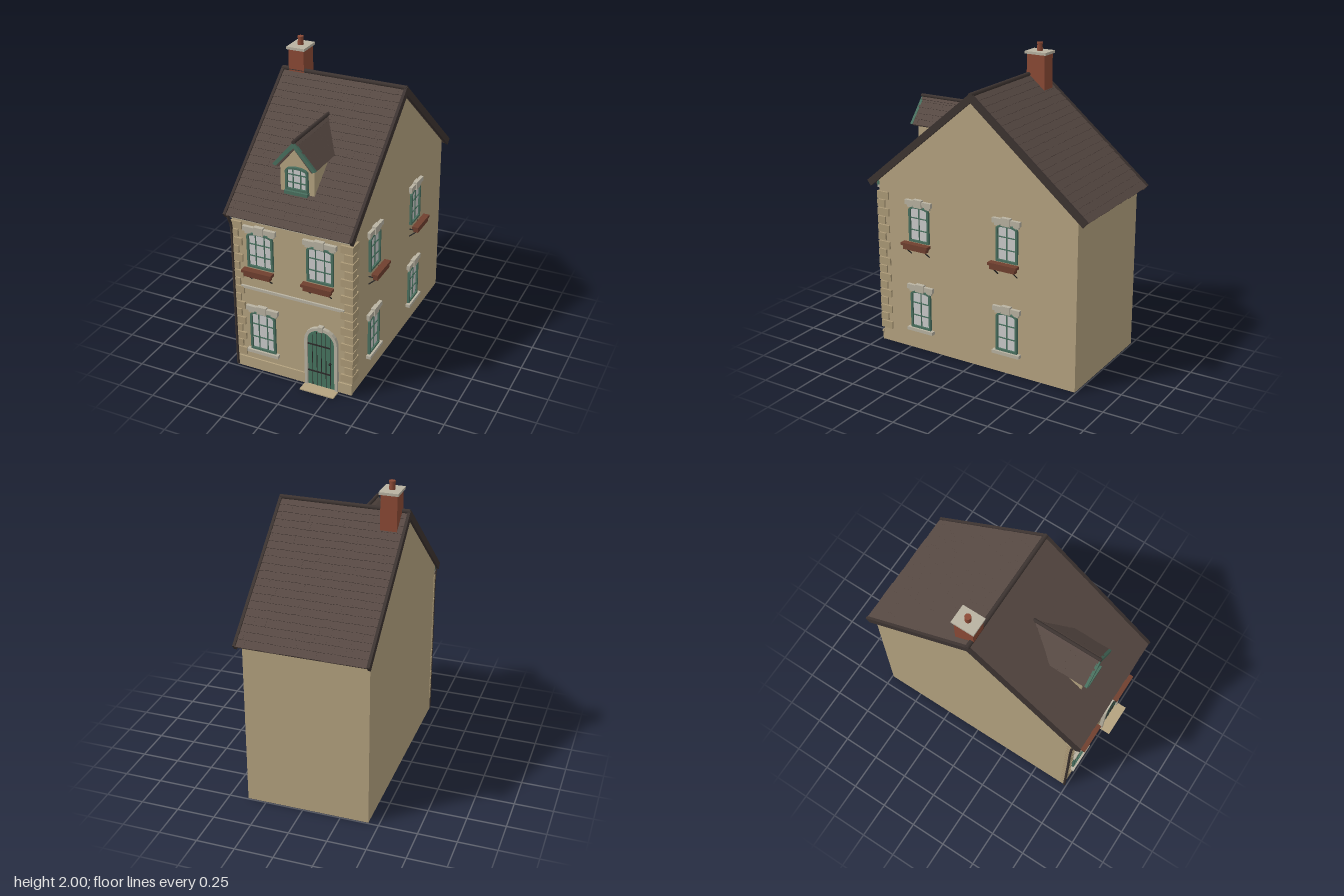
import * as THREE from 'three';
import { mergeGeometries } from 'three/addons/utils/BufferGeometryUtils.js';

const mat = (color, extra = {}) => Object.assign(new THREE.MeshStandardMaterial({ color }), extra);
const M = {
  wall: mat(0xb5a380), stone: mat(0xb9b3a2), quoin: mat(0xad9b78), roof: mat(0x574943), trim: mat(0x3d3431),
  green: mat(0x49705f), door: mat(0x477560), iron: mat(0x2b2a29), glass: mat(0xc0c1c4), brick: mat(0x8c4a36),
  planter: mat(0x70402f), inner: mat(0x9a7a64), floor: mat(0x5f4d42),
};

function add(parent, name, geo, material, x = 0, y = 0, z = 0) {
  const m = new THREE.Mesh(geo, material);
  m.name = name;
  m.position.set(x, y, z);
  parent.add(m);
  return m;
}
// box given by its min and max corners
const block = (p, name, material, x0, x1, y0, y1, z0, z1) =>
  add(p, name, new THREE.BoxGeometry(x1 - x0, y1 - y0, z1 - z0), material, (x0 + x1) / 2, (y0 + y1) / 2, (z0 + z1) / 2);
const extrude = (shape, depth) => new THREE.ExtrudeGeometry(shape, { depth, bevelEnabled: false, curveSegments: 12 });
function group(parent, name, x = 0, y = 0, z = 0, ry = 0) {
  const g = new THREE.Group();
  g.name = name;
  g.position.set(x, y, z);
  g.rotation.y = ry;
  parent.add(g);
  return g;
}
function rod(p, name, material, r, a, b) {
  const A = new THREE.Vector3(...a), B = new THREE.Vector3(...b);
  const m = add(p, name, new THREE.CylinderGeometry(r, r, A.distanceTo(B), 8), material);
  m.position.copy(A).add(B).multiplyScalar(0.5);
  m.quaternion.setFromUnitVectors(new THREE.Vector3(0, 1, 0), B.sub(A).normalize());
  return m;
}
// outline with a flat foot and a curved head
function arch(w, h, rise, inset = 0, C = THREE.Shape, foot = inset) {
  const s = new C(), x = w / 2 - inset, top = h - rise, peak = top + (rise - inset) * 4 / 3;
  s.moveTo(-x, foot);
  s.lineTo(x, foot);
  s.lineTo(x, top);
  s.bezierCurveTo(x, peak, -x, peak, -x, top);
  s.closePath();
  return s;
}
function frame(w, h, rise, t, depth, foot) {
  const s = arch(w, h, rise);
  s.holes.push(arch(w, h, rise, t, THREE.Path, foot));
  return extrude(s, depth);
}

// window on a wall, local +z points outwards, origin at the foot of the frame
function windowUnit(p, name, x, y, z, ry, { w, h, rise = 0.03, cols, lintel = true, planter = false }) {
  const g = group(p, name, x, y, z, ry);
  add(g, 'windowFrame', frame(w, h, rise, 0.014, 0.016), M.green);
  add(g, 'windowGlass', extrude(arch(w, h, rise, 0.01), 0.004), M.glass);
  for (let i = 1; i < cols; i++) {
    const bx = -w / 2 + (w * i) / cols;
    block(g, 'windowBar', M.green, bx - 0.003, bx + 0.003, 0.01, h - 0.012, 0.003, 0.01);
  }
  for (let i = 1; i < 3; i++) block(g, 'windowBar', M.green, -w / 2 + 0.01, w / 2 - 0.01, h * i / 3 - 0.003, h * i / 3 + 0.003, 0.003, 0.01);
  const e = w / 2 + 0.022;
  if (lintel) {
    block(g, 'lintel', M.stone, -e, e, h + 0.006, h + 0.038, 0, 0.022);
    block(g, 'lintelShoulder', M.stone, -e + 0.012, -w / 2 + 0.03, h - 0.012, h + 0.01, 0, 0.014);
    block(g, 'lintelShoulder', M.stone, w / 2 - 0.03, e - 0.012, h - 0.012, h + 0.01, 0, 0.014);
    block(g, 'keystone', M.stone, -0.032, 0.032, h - 0.004, h + 0.048, 0, 0.028);
  }
  if (!planter) {
    block(g, 'windowSill', lintel ? M.stone : M.green, -e + (lintel ? 0 : 0.02), e - (lintel ? 0 : 0.02), -0.022, 0, 0, 0.03);
    return;
  }
  // planter box on two slanted brackets
  block(g, 'planterBox', M.planter, -0.09, 0.09, -0.04, -0.008, 0.035, 0.068);
  block(g, 'planterRim', M.planter, -0.102, 0.102, -0.014, 0.004, 0.03, 0.073);
  for (const s of [-0.07, 0.07]) {
    rod(g, 'planterBracket', M.iron, 0.004, [s, -0.09, 0], [s, -0.04, 0.055]);
    rod(g, 'planterBracket', M.iron, 0.004, [s, -0.036, 0], [s, -0.036, 0.06]);
  }
}

// tiled slope: local z runs down from the ridge, y is the outward normal
function slope(p, name, x, y, z, ry, pitch, w, len, rows, cols) {
  const g = group(p, name, x, y, z);
  g.rotation.set(pitch, ry, 0, 'YXZ');
  block(g, 'roofSlab', M.roof, -w / 2, w / 2, -0.032, -0.004, 0, len - 0.005);
  const tiles = [], step = len / rows, tw = w / cols;
  let seed = 7;
  const rnd = () => ((seed = (seed * 16807) % 2147483647) / 2147483647) - 0.5;
  for (let r = 0; r < rows; r++) {
    const shift = r % 2 ? tw / 2 : 0;
    for (let c = 0; c < cols + (r % 2); c++) {
      const a = Math.max(-w / 2, -w / 2 + c * tw - shift), b = Math.min(w / 2, -w / 2 + (c + 1) * tw - shift);
      const t = new THREE.BoxGeometry(b - a, 0.006, step * 1.15);
      t.rotateX(-0.07);
      t.translate((a + b) / 2, -0.002 + rnd() * 0.0015, (r + 0.5) * step + rnd() * 0.004);
      tiles.push(t);
    }
  }
  add(g, 'roofTiles', mergeGeometries(tiles), M.roof);
  return g;
}

export function createModel() {
  const house = new THREE.Group();
  house.name = 'townHouse';
  const L = -0.432, R = 0.375, F = 0.72, B = -0.742, RZ = -0.01, RY = 1.795;

  // hollow walls, open underneath
  const walls = group(house, 'walls');
  block(walls, 'frontWall', M.wall, L, R, 0, 1.15, F - 0.03, F);
  block(walls, 'backWall', M.wall, L, R, 0, 1.15, B, B + 0.03);
  const gable = new THREE.Shape([[-F, 0], [-B, 0], [-B, 1.165], [-RZ, RY - 0.022], [-F, 1.165]].map(q => new THREE.Vector2(...q)));
  for (const [name, x] of [['leftWall', R - 0.03], ['rightWall', L]])
    add(walls, name, extrude(gable, 0.03).rotateY(Math.PI / 2), M.wall, x);
  block(walls, 'plinth', M.wall, L, R + 0.003, 0, 0.075, F, F + 0.01);
  block(walls, 'stringCourse', M.stone, L + 0.05, R - 0.05, 0.598, 0.616, F, F + 0.012);

  // simple interior
  const inside = group(house, 'interior');
  block(inside, 'entranceFloor', M.floor, L + 0.03, R - 0.03, 0.004, 0.02, 0.48, F - 0.03);
  block(inside, 'partition', M.inner, L + 0.03, R - 0.03, 0.02, 0.65, 0.48, 0.495);
  for (const z of [0.31, -0.25]) block(inside, 'innerBox', M.inner, 0.05, R - 0.03, 0.18, 0.45, z - 0.15, z + 0.15);

  // alternating corner stones
  const quoins = group(house, 'quoins');
  for (let i = 0; i < 17; i++) {
    const y = 0.095 + i * 0.0575, long = i % 2 === 0, w = long ? 0.07 : 0.045;
    block(quoins, 'leftQuoin', M.quoin, R - w, R + 0.012, y, y + 0.05, F - (long ? 0.075 : 0.045), F + 0.014);
    block(quoins, 'rightQuoin', M.quoin, L - 0.004, L + w, y, y + 0.05, F - 0.02, F + 0.014);
  }

  // windows on the front and on the left side
  const front = { w: 0.178, cols: 3 }, side = { w: 0.155, cols: 2 };
  for (const x of [-0.238, 0.168]) windowUnit(house, 'upperFrontWindow', x, 0.765, F, 0, { ...front, h: 0.245, planter: true });
  windowUnit(house, 'lowerFrontWindow', -0.238, 0.157, F, 0, { ...front, h: 0.285 });
  for (const z of [0.405, -0.255]) {
    windowUnit(house, 'upperSideWindow', R, 0.765, z, Math.PI / 2, { ...side, h: 0.245, planter: true });
    windowUnit(house, 'lowerSideWindow', R, 0.157, z, Math.PI / 2, { ...side, h: 0.267 });
  }

  // arched plank door with stone surround
  const door = group(house, 'frontDoor', 0.172, 0, F);
  add(door, 'doorSurround', frame(0.226, 0.45, 0.11, 0.02, 0.024, 0.002), M.stone);
  add(door, 'doorLeaf', extrude(arch(0.226, 0.45, 0.11, 0.018, THREE.Shape, 0.004), 0.012), M.door);
  for (let i = -2; i <= 2; i++) block(door, 'plankGap', M.iron, i * 0.031 - 0.002, i * 0.031 + 0.002, 0.006, 0.42 - i * i * 0.009, 0.01, 0.0135);
  for (const y of [0.11, 0.31]) block(door, 'strapHinge', M.iron, -0.092, 0.06, y, y + 0.009, 0.01, 0.017);
  add(door, 'doorKnob', new THREE.SphereGeometry(0.009, 10, 8), M.iron, 0.062, 0.2, 0.02);
  block(door, 'doorKeystone', M.stone, -0.016, 0.016, 0.425, 0.462, 0, 0.03);
  block(door, 'doorStep', M.wall, -0.117, 0.117, 0, 0.008, 0, 0.09);

  // cornice, gutter and downpipe
  const eaves = group(house, 'eaves');
  block(eaves, 'cornice', M.stone, L, R, 1.085, 1.103, F, F + 0.016);
  block(eaves, 'fascia', M.green, L, R, 1.103, 1.15, F, F + 0.02);
  for (let i = 0; i < 34; i++) block(eaves, 'dentil', M.trim, L + i * 0.024, L + 0.012 + i * 0.024, 1.106, 1.124, F + 0.02, F + 0.03);
  rod(eaves, 'gutter', M.trim, 0.012, [-0.443, 1.128, 0.768], [0.397, 1.128, 0.768]);
  const pipe = new THREE.CatmullRomCurve3([[1.125, 0.768], [1.09, 0.762], [1.05, 0.74], [1.0, 0.733], [0.5, 0.733], [0.01, 0.733]]
    .map(([y, z]) => new THREE.Vector3(-0.43, y, z)));
  add(eaves, 'downpipe', new THREE.TubeGeometry(pipe, 40, 0.009, 8), M.trim);

  // main roof
  const roof = group(house, 'mainRoof'), cx = -0.022, rw = 0.83;
  for (const [name, ry] of [['frontSlope', 0], ['backSlope', Math.PI]]) {
    const s = slope(roof, name, cx, RY, RZ, ry, 0.697, rw, 1.04, 20, 22);
    for (const e of [-1, 1]) block(s, 'verge', M.trim, e * 0.418 - 0.009, e * 0.418 + 0.009, -0.036, 0.009, 0, 1.043);
  }
  rod(roof, 'ridge', M.trim, 0.015, [-0.445, RY, RZ], [0.403, RY, RZ]);

  // dormer
  const dormer = group(house, 'dormer', -0.033);
  const face = new THREE.Shape([[-0.113, 1.27], [0.113, 1.27], [0.113, 1.485], [0, 1.607], [-0.113, 1.485]].map(q => new THREE.Vector2(...q)));
  add(dormer, 'dormerWalls', extrude(face, 0.41), M.wall, 0, 0, 0.2);
  for (const s of [-1, 1]) {
    slope(dormer, 'dormerSlope', 0, 1.625, 0.405, s * Math.PI / 2, 0.87, 0.48, 0.215, 5, 12);
    const board = new THREE.Shape([[0, 1.627], [s * 0.143, 1.462], [s * 0.122, 1.452], [0, 1.588]].map(q => new THREE.Vector2(...q)));
    add(dormer, 'bargeBoard', extrude(board, 0.018), M.green, 0, 0, 0.636);
  }
  rod(dormer, 'dormerRidge', M.trim, 0.012, [0, 1.626, 0.655], [0, 1.626, 0.17]);
  windowUnit(dormer, 'dormerWindow', 0, 1.295, 0.61, 0, { w: 0.15, h: 0.155, cols: 3, lintel: false });

  // chimney
  const chimney = group(house, 'chimney', -0.343, 0, -0.062);
  block(chimney, 'chimneyStack', M.brick, -0.053, 0.053, 1.66, 1.93, -0.066, 0.066);
  block(chimney, 'chimneyCap', M.stone, -0.062, 0.062, 1.928, 1.945, -0.077, 0.077);
  add(chimney, 'chimneyPot', new THREE.CylinderGeometry(0.016, 0.02, 0.056, 14), M.brick, 0, 1.972, 0);
  add(chimney, 'potRim', new THREE.CylinderGeometry(0.02, 0.02, 0.012, 14), M.brick, 0, 1.994, 0);
  return house;
}
